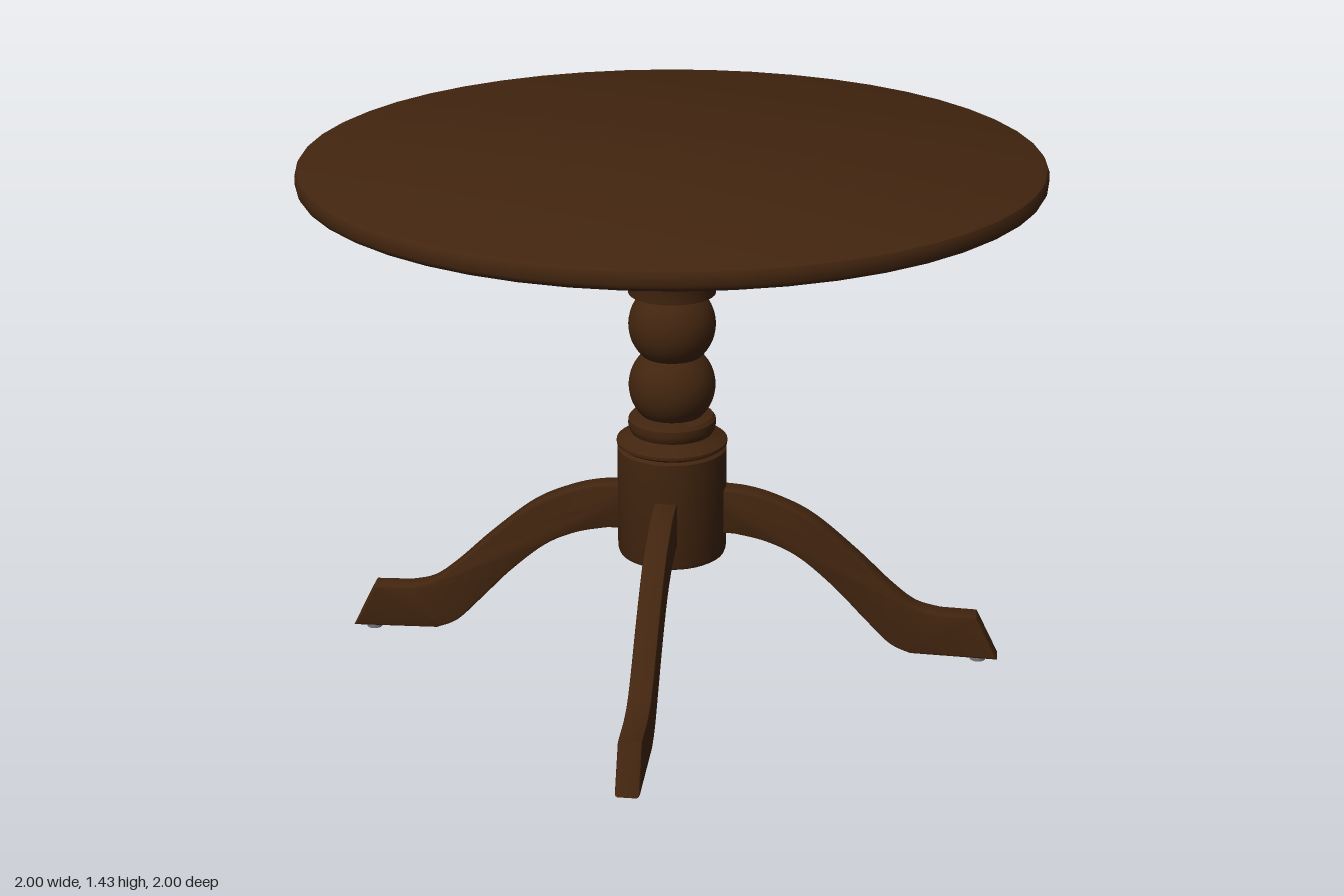
import * as THREE from 'three';
import { toCreasedNormals } from 'three/addons/utils/BufferGeometryUtils.js';

const wood = new THREE.MeshStandardMaterial({ color: 0x42250f });
wood.name = 'dark wood';
const metal = new THREE.MeshStandardMaterial({ color: 0x77777a });
metal.name = 'grey metal';

const vecs = (list) => list.map(([x, y]) => new THREE.Vector2(x, y));

function part(name, geometry, material, parent) {
  const mesh = new THREE.Mesh(geometry, material);
  mesh.name = name;
  parent.add(mesh);
  return mesh;
}

// Turned part from [radius, height] pairs, listed bottom to top
function turned(profile, segments) {
  return toCreasedNormals(new THREE.LatheGeometry(vecs(profile), segments), 0.6);
}

// Slice of a ball as [radius, height] pairs
function ball(centre, radius, from, to, steps = 12) {
  const a = Math.asin((from - centre) / radius);
  const b = Math.asin((to - centre) / radius);
  return Array.from({ length: steps + 1 }, (_, i) => {
    const t = a + ((b - a) * i) / steps;
    return [radius * Math.cos(t), centre + radius * Math.sin(t)];
  });
}

// Curved leg with a flat foot, running out along +x
function legGeometry() {
  const s = new THREE.Shape();
  s.moveTo(0.07, 0.36);
  s.lineTo(0.18, 0.358);
  s.splineThru(vecs([[0.27, 0.338], [0.36, 0.295], [0.46, 0.21], [0.55, 0.115], [0.62, 0.045], [0.68, 0.017]]));
  s.lineTo(0.925, 0.012);
  s.lineTo(0.862, 0.14);
  s.lineTo(0.76, 0.143);
  s.splineThru(vecs([[0.69, 0.162], [0.62, 0.215], [0.52, 0.31], [0.4, 0.41], [0.3, 0.46], [0.2, 0.487], [0.07, 0.493]]));
  s.closePath();
  const geo = new THREE.ExtrudeGeometry(s, {
    depth: 0.048, curveSegments: 24,
    bevelThickness: 0.008, bevelSize: 0.008, bevelOffset: -0.008, bevelSegments: 2,
  });
  geo.translate(0, 0, -0.024);
  return toCreasedNormals(geo, 0.5);
}

export function createModel() {
  const table = new THREE.Group();
  table.name = 'pedestalTable';

  // Round top with softened rim
  part('tableTop', turned([
    [0, 1.38], [0.985, 1.38], [0.995, 1.386], [1, 1.396], [1, 1.42], [0.995, 1.43], [0.985, 1.435], [0, 1.435],
  ], 48), wood, table);

  // Everything below the top sits very slightly off centre
  const base = new THREE.Group();
  base.name = 'base';
  base.position.set(-0.006, 0, 0.006);
  table.add(base);

  part('mountingPlate', turned([[0, 1.346], [0.307, 1.346], [0.307, 1.381], [0, 1.381]], 40), wood, base);

  // Turned column: hub, beads, two balls, collar, upper drum
  part('column', turned([
    [0, 0.288], [0.138, 0.288], [0.148, 0.294], [0.152, 0.306], [0.152, 0.605],
    [0.143, 0.612], [0.154, 0.62], [0.154, 0.628], [0.14, 0.638], [0.122, 0.645],
    [0.113, 0.652], [0.119, 0.662], [0.122, 0.675], [0.121, 0.69], [0.113, 0.7],
    ...ball(0.788, 0.12, 0.705, 0.876),
    ...ball(0.964, 0.12, 0.88, 1.052),
    [0.12, 1.056], [0.122, 1.09], [0.128, 1.112], [0.14, 1.122], [0.152, 1.126], [0.153, 1.136],
    [0.143, 1.142], [0.143, 1.148], [0.158, 1.152], [0.165, 1.162], [0.165, 1.172], [0.158, 1.182],
    [0.152, 1.186], [0.152, 1.35], [0, 1.35],
  ], 40), wood, base);

  // Four legs with foot glides, and plate screws above them
  const legGeo = legGeometry();
  const glideGeo = new THREE.CylinderGeometry(0.022, 0.022, 0.014, 16);
  const screwGeo = new THREE.CylinderGeometry(0.02, 0.012, 0.016, 12);
  for (let i = 0; i < 4; i++) {
    const quarter = new THREE.Group();
    quarter.name = 'legAssembly' + (i + 1);
    quarter.rotation.y = THREE.MathUtils.degToRad(-53 + 90 * i);
    base.add(quarter);
    part('leg', legGeo, wood, quarter);
    part('footGlide', glideGeo, metal, quarter).position.set(0.87, 0.007, 0);
    part('plateScrew', screwGeo, wood, quarter).position.set(0.235, 1.339, 0);
  }
  return table;
}
